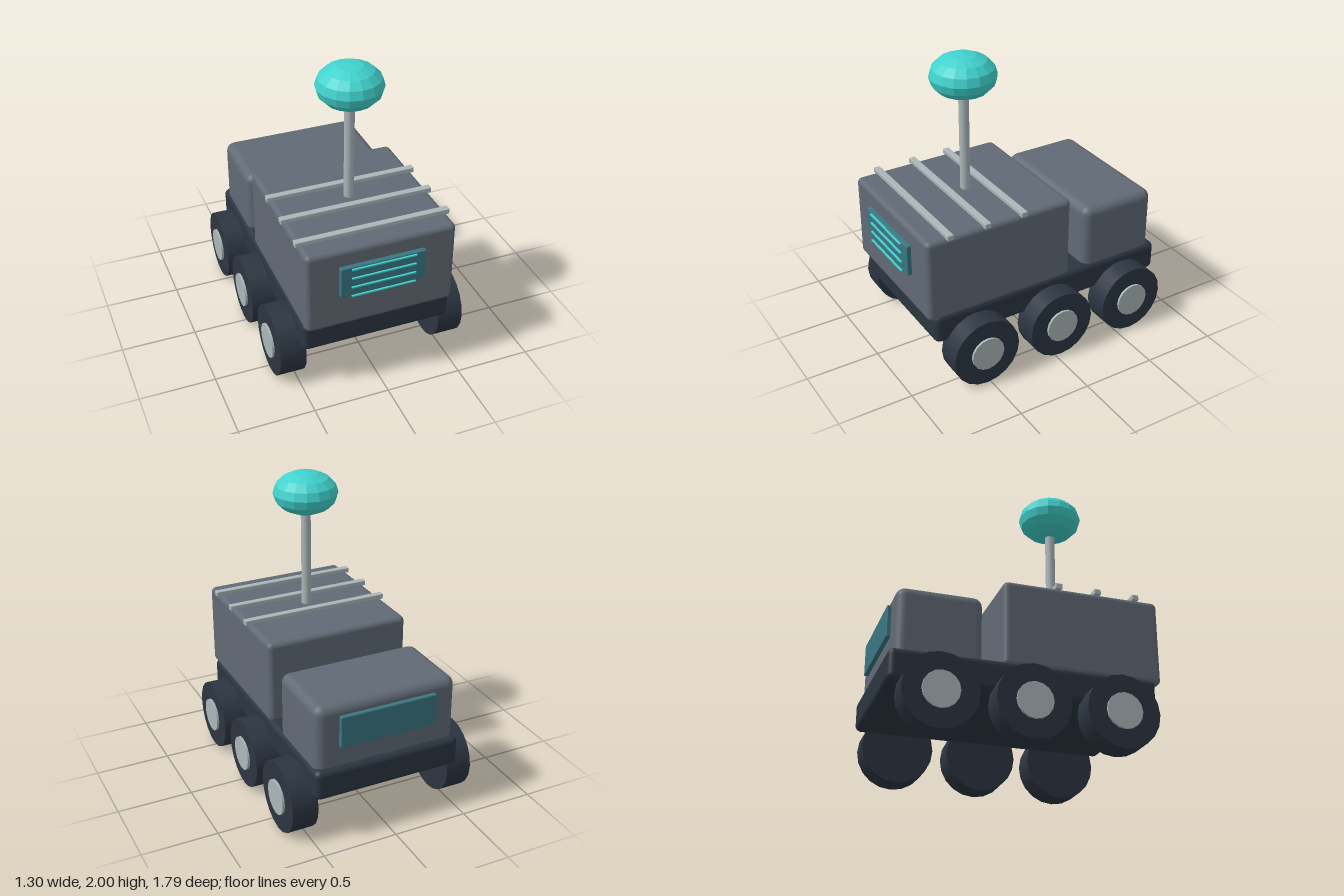
import * as THREE from 'three';
import { RoundedBoxGeometry } from 'three/addons/geometries/RoundedBoxGeometry.js';

const material = (name, color, flatShading = false) => {
  const m = new THREE.MeshStandardMaterial({ color, flatShading });
  m.name = name;
  return m;
};

export function createModel() {
  const group = new THREE.Group();
  const hull = material('slate grey', 0x616a75);
  const dark = material('dark navy', 0x2c3541);
  const metal = material('light metal', 0xabb6ba);
  const glass = material('dark teal glass', 0x3a7682);
  const teal = material('bright teal', 0x40d2cd, true);

  const add = (name, geometry, mat, x, y, z) => {
    const mesh = new THREE.Mesh(geometry, mat);
    mesh.name = name;
    mesh.position.set(x, y, z);
    group.add(mesh);
    return mesh;
  };
  // Rounded box given by its width and its y and z ranges
  const block = (name, mat, w, y0, y1, z0, z1, r) =>
    add(name, new RoundedBoxGeometry(w, y1 - y0, z1 - z0, 3, r), mat, 0, (y0 + y1) / 2, (z0 + z1) / 2);

  // Body
  block('chassis', dark, 1.0, 0.32, 0.525, -0.893, 0.81, 0.04);
  block('cargoBox', hull, 0.99, 0.5, 1.07, -0.188, 0.852, 0.035);
  block('cabin', hull, 0.965, 0.45, 0.94, -0.855, -0.312, 0.06);

  // Window and vent panel
  block('window', glass, 0.66, 0.655, 0.868, -0.882, -0.84, 0.008);
  block('ventPanel', glass, 0.565, 0.742, 0.955, 0.84, 0.882, 0.008);
  for (let i = 0; i < 4; i++) {
    add('ventSlat', new THREE.BoxGeometry(0.425, 0.009, 0.025), teal, 0, 0.744 + i * 0.0655, 0.882);
  }

  // Roof rails
  for (const z of [0.172, 0.433, 0.694]) {
    block('roofRail', metal, 1.02, 1.06, 1.096, z - 0.022, z + 0.022, 0.005);
  }

  // Mast and sensor dome
  add('mast', new THREE.CylinderGeometry(0.033, 0.033, 0.72, 12), metal, 0, 1.4, 0.306);
  const dome = add('sensorDome', new THREE.SphereGeometry(0.215, 16, 8), teal, 0, 1.857, 0.306);
  dome.scale.y = 0.143 / 0.215;

  // Six wheels with hubs
  const tyre = new THREE.CylinderGeometry(0.234, 0.234, 0.173, 20).rotateZ(Math.PI / 2);
  const hub = new THREE.CylinderGeometry(0.115, 0.115, 0.04, 16).rotateZ(Math.PI / 2);
  for (const side of [-1, 1]) {
    for (const z of [0.522, -0.043, -0.608]) {
      add('tyre', tyre, dark, side * 0.548, 0.236, z);
      add('hub', hub, metal, side * 0.63, 0.236, z);
    }
  }
  return group;
}
